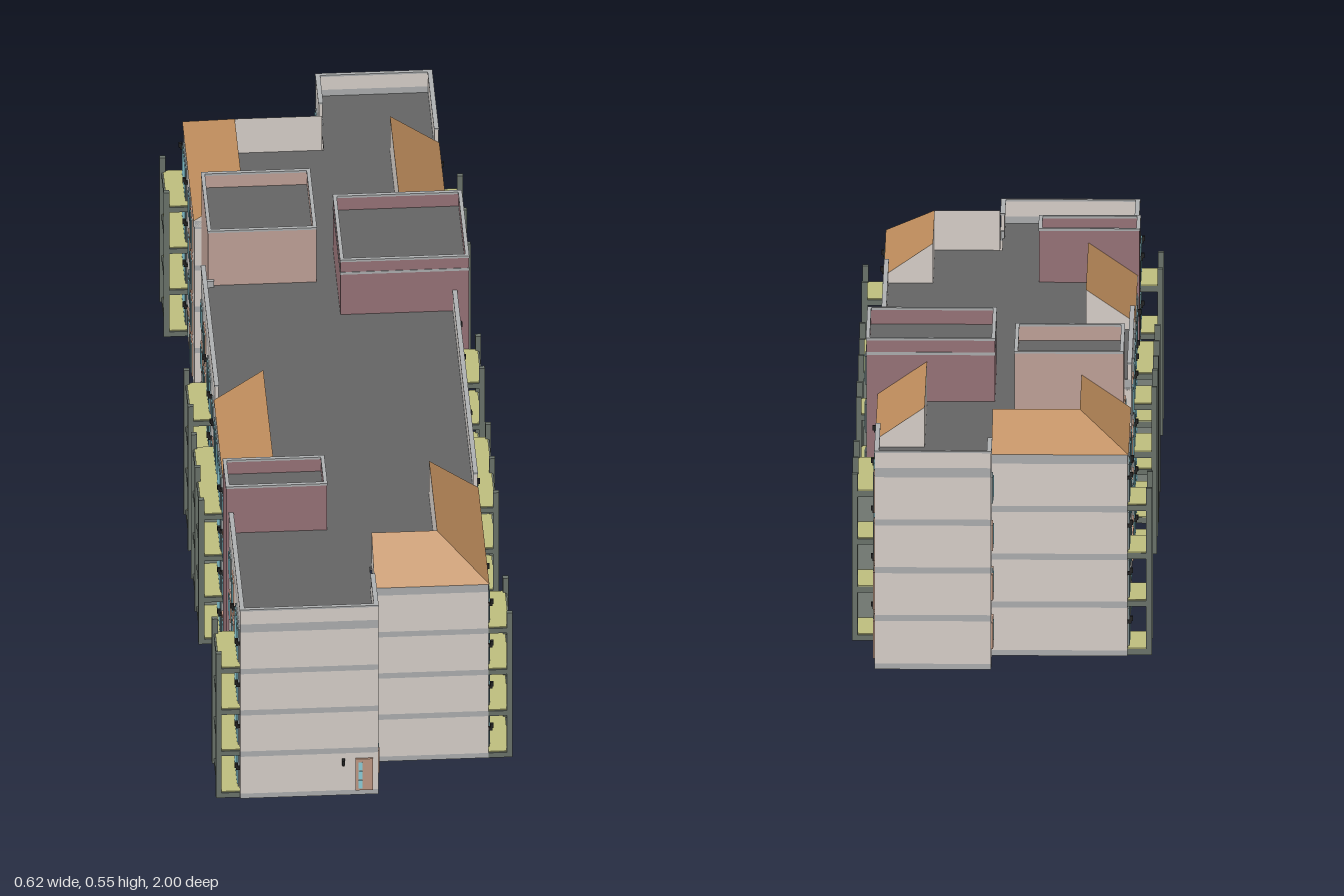
import * as THREE from 'three';

const mat = (color, side = THREE.FrontSide) =>
  new THREE.MeshStandardMaterial({ color, side, flatShading: true });
const M = {
  wall: mat(0xdcd4ce), band: mat(0xb0b2b3), roof: mat(0x666666), tile: mat(0xbf8d5c, THREE.DoubleSide),
  gable: mat(0xdcd4ce, THREE.DoubleSide), maroon: mat(0x9a757a), pink: mat(0xc4a59b),
  slab: mat(0xc0c080), steel: mat(0x6c756d), panel: mat(0x808880), glass: mat(0x8fd3e0),
  frame: mat(0x7d8a8c), wood: mat(0xc49c86), dark: mat(0x222222),
};

// Box given by its min and max corners
function box(parent, name, m, x0, x1, y0, y1, z0, z1) {
  const mesh = new THREE.Mesh(new THREE.BoxGeometry(Math.abs(x1 - x0), y1 - y0, Math.abs(z1 - z0)), m);
  mesh.position.set((x0 + x1) / 2, (y0 + y1) / 2, (z0 + z1) / 2);
  mesh.name = name;
  parent.add(mesh);
}

// Inset a right-angled outline of [x, z] points
function inset(pts, t) {
  const n = pts.length;
  const normal = (a, b) => {
    const dx = b[0] - a[0], dz = b[1] - a[1], l = Math.hypot(dx, dz);
    return [dz / l, -dx / l];
  };
  return pts.map((p, i) => {
    const a = normal(pts[(i + n - 1) % n], p), b = normal(p, pts[(i + 1) % n]);
    return [p[0] + t * (a[0] + b[0]), p[1] + t * (a[1] + b[1])];
  });
}

// Vertical extrusion of an outline; a thickness makes it a hollow ring
function prism(parent, name, m, pts, y0, y1, thickness = 0) {
  const v = (list) => list.map(([x, z]) => new THREE.Vector2(x, -z));
  const shape = new THREE.Shape(v(pts));
  if (thickness) shape.holes.push(new THREE.Path(v(inset(pts, thickness))));
  const g = new THREE.ExtrudeGeometry(shape, { depth: y1 - y0, bevelEnabled: false });
  g.rotateX(-Math.PI / 2);
  const mesh = new THREE.Mesh(g, m);
  mesh.position.y = y0;
  mesh.name = name;
  parent.add(mesh);
}

// Flat polygon through corner points
function face(parent, name, m, pts) {
  const pos = [];
  for (let i = 1; i < pts.length - 1; i++) pos.push(...pts[0], ...pts[i], ...pts[i + 1]);
  const g = new THREE.BufferGeometry();
  g.setAttribute('position', new THREE.Float32BufferAttribute(pos, 3));
  g.computeVertexNormals();
  const mesh = new THREE.Mesh(g, m);
  mesh.name = name;
  parent.add(mesh);
}

const FLOORS = [0.012, 0.115, 0.217, 0.319];
const EAVE = 0.43, RIDGE = 0.5, DECK = 0.415, PARAPET = 0.466, T = 0.008;

// Tiled slope between an eave line and a ridge line of [x, z] points
function slope(parent, eave, ridge) {
  const g = new THREE.Group();
  g.name = 'tiledRoof';
  const at = ([x, z], y) => [x, y, z];
  for (let i = 0; i < eave.length - 1; i++) {
    const r0 = ridge[i], r1 = ridge[i + 1];
    face(g, 'roofSlope', M.tile, [at(eave[i], EAVE), at(eave[i + 1], EAVE), at(r1, RIDGE), at(r0, RIDGE)]);
    face(g, 'roofBackWall', M.gable, [at(r0, DECK), at(r1, DECK), at(r1, RIDGE), at(r0, RIDGE)]);
  }
  for (const i of [0, eave.length - 1])
    face(g, 'gableEnd', M.gable, [at(eave[i], DECK), at(eave[i], EAVE), at(ridge[i], RIDGE), at(ridge[i], DECK)]);
  parent.add(g);
}

// Framed opening in a side wall at plane x facing s (+1 or -1)
function opening(parent, name, x, s, z, y, w, h, panes = 1, m = M.frame, shutters = false) {
  const g = new THREE.Group();
  g.name = name;
  box(g, name + 'Frame', m, x - s * 0.011, x + s * 0.003, y, y + h, z - w / 2, z + w / 2);
  const b = 0.005, pw = (w - b * (panes + 1)) / panes;
  for (let i = 0; i < panes; i++) {
    const z0 = z - w / 2 + b + i * (pw + b);
    box(g, name + 'Glass', M.glass, x - s * 0.0125, x + s * 0.0045, y + b, y + h - b, z0, z0 + pw);
  }
  if (shutters) for (const d of [-1, 1])
    box(g, 'shutter', M.wood, x, x + s * 0.004, y, y + h, z + d * w / 2, z + d * (w / 2 + 0.014));
  parent.add(g);
}

function facadeColumn(parent, kind, x, s, z, floors = FLOORS, shutterFloors = []) {
  floors.forEach((y, i) => {
    if (kind === 'window') opening(parent, 'window', x, s, z, y + 0.027, 0.044, 0.055, 1, i % 2 ? M.frame : M.wood, shutterFloors.includes(i));
    if (kind === 'tall') opening(parent, 'tallWindow', x, s, z, y + 0.004, 0.05, 0.08, 2, M.wood, shutterFloors.includes(i));
    if (kind === 'door') opening(parent, 'balconyDoor', x, s, z, y, 0.1, 0.082, 3);
  });
}

// Stack of balconies on one side, with posts and an optional divider
function balcony(parent, s, z0, z1) {
  const g = new THREE.Group();
  g.name = 'balconyStack';
  const wide = z1 - z0 > 0.2, mid = (z0 + z1) / 2, xi = s * 0.26, xo = s * 0.306;
  for (const y of FLOORS) {
    box(g, 'balconySlab', M.steel, xi, xo, y - 0.012, y, z0, z1);
    box(g, 'balconyFloor', M.slab, xi, s * 0.303, y, y + 0.002, z0 + 0.003, z1 - 0.003);
    for (const z of [z0 + 0.004, z1 - 0.004]) {
      box(g, 'wallLamp', M.dark, xi, s * 0.268, y + 0.055, y + 0.062, z - 0.003, z + 0.003);
      box(g, 'lampHead', M.dark, s * 0.264, s * 0.271, y + 0.06, y + 0.07, z - 0.003, z + 0.003);
    }
  }
  for (const z of wide ? [z0 + 0.005, mid, z1 - 0.005] : [z0 + 0.005, z1 - 0.005])
    box(g, 'balconyPost', M.steel, s * 0.298, s * 0.31, 0, 0.356, z - 0.005, z + 0.005);
  if (wide) box(g, 'balconyDivider', M.panel, xi, s * 0.3, 0, 0.32, mid - 0.003, mid + 0.003);
  parent.add(g);
  for (const z of wide ? [(z0 + mid) / 2, (z1 + mid) / 2] : [mid]) facadeColumn(parent, 'door', xi, s, z);
}

// Tower head rising over the deck
function tower(parent, name, m, x0, x1, z0, z1, top, bandY) {
  const pts = [[x0, z1], [x1, z1], [x1, z0], [x0, z0]];
  prism(parent, name, m, pts, DECK - 0.005, top - 0.005, 0.006);
  prism(parent, name + 'Coping', M.band, inset(pts, -0.001), top - 0.005, top, 0.008);
  if (bandY) prism(parent, name + 'Band', M.band, inset(pts, -0.001), bandY, bandY + 0.006, 0.004);
  prism(parent, name + 'Deck', M.roof, inset(pts, 0.003), top - 0.045, top - 0.035);
}

export function createModel() {
  const root = new THREE.Group();
  root.name = 'apartmentBlock';

  // Outer walls: hollow rings stacked in alternating colours
  const plan = [[-0.26, 0.99], [0.025, 0.99], [0.025, 0.87], [0.26, 0.87], [0.26, -1], [0.02, -1],
    [0.02, -0.89], [-0.26, -0.89], [-0.26, -0.52], [-0.242, -0.52], [-0.242, -0.3], [-0.26, -0.3]];
  const levels = [0, 0.012, 0.103, 0.116, 0.205, 0.218, 0.307, 0.32, 0.41, EAVE];
  for (let i = 0; i < levels.length - 1; i++)
    prism(root, i % 2 ? 'storeyWall' : 'floorBand', i % 2 ? M.wall : M.band, plan, levels[i], levels[i + 1], T);

  // Flat roof deck, notched under the tiled slopes
  prism(root, 'roofDeck', M.roof, [[-0.256, 0.986], [0.021, 0.986], [0.021, 0.77], [0.16, 0.77], [0.16, 0.51],
    [0.256, 0.51], [0.256, -0.42], [0.16, -0.42], [0.16, -0.78], [0.256, -0.78], [0.256, -0.996], [0.024, -0.996],
    [0.024, -0.79], [-0.16, -0.79], [-0.16, -0.52], [-0.238, -0.52], [-0.238, -0.3], [-0.256, -0.3],
    [-0.256, 0.15], [-0.16, 0.15], [-0.16, 0.52], [-0.256, 0.52]], DECK - 0.008, DECK);

  // Parapets between the slopes and towers
  for (const [x0, x1, z0, z1] of [
    [-0.26, 0.025, 0.982, 0.99], [0.017, 0.025, 0.87, 0.982], [-0.26, -0.252, 0.625, 0.982],
    [-0.26, -0.252, -0.3, 0.15], [0.252, 0.26, -0.175, 0.51], [0.252, 0.26, -0.992, -0.78],
    [0.02, 0.26, -1, -0.992], [0.02, 0.028, -0.992, -0.89]]) {
    box(root, 'parapet', M.wall, x0, x1, EAVE, PARAPET - 0.004, z0, z1);
    box(root, 'parapetCoping', M.band, x0 - 0.001, x1 + 0.001, PARAPET - 0.004, PARAPET, z0, z1);
  }

  // Tiled slopes: two hipped corners and two straight runs
  slope(root, [[0.262, 0.51], [0.262, 0.872], [0.025, 0.872]], [[0.16, 0.51], [0.16, 0.77], [0.025, 0.77]]);
  slope(root, [[-0.262, -0.52], [-0.262, -0.892], [0.02, -0.892]], [[-0.16, -0.52], [-0.16, -0.79], [0.02, -0.79]]);
  slope(root, [[0.262, -0.78], [0.262, -0.42]], [[0.16, -0.78], [0.16, -0.42]]);
  slope(root, [[-0.262, 0.15], [-0.262, 0.52]], [[-0.16, 0.15], [-0.16, 0.52]]);

  // Stair towers: facade panel below, hollow head above
  box(root, 'stairTowerFacade', M.maroon, 0.25, 0.285, 0, DECK, -0.42, -0.175);
  tower(root, 'stairTower', M.maroon, 0.02, 0.285, -0.42, -0.175, 0.55, 0.514);
  box(root, 'rearTowerFacade', M.pink, -0.246, -0.23, 0, DECK, -0.52, -0.3);
  tower(root, 'rearTower', M.pink, -0.246, -0.022, -0.52, -0.3, 0.55);
  box(root, 'smallTowerFacade', M.maroon, -0.266, -0.249, 0, DECK, 0.52, 0.625);
  tower(root, 'smallTower', M.maroon, -0.266, -0.058, 0.52, 0.625, 0.53);
  for (const y of [0.035, 0.138, 0.24, 0.342, 0.444]) opening(root, 'stairWindow', 0.285, 1, -0.375, y, 0.045, 0.06);
  for (const y of FLOORS) opening(root, 'stairWindow', -0.246, -1, -0.35, y + 0.025, 0.045, 0.06, 1, M.wood);

  // Balconies with their glazed doors
  for (const [z0, z1] of [[-0.775, -0.51], [-0.175, -0.045], [0.155, 0.42], [0.73, 0.87]]) balcony(root, 1, z0, z1);
  for (const [z0, z1] of [[-0.88, -0.74], [-0.085, 0.06], [0.155, 0.41], [0.845, 0.985]]) balcony(root, -1, z0, z1);

  // Remaining windows, column by column
  for (const [z, sh] of [[0.69, [0, 1]], [0.465, [1]], [0.125, []], [-0.82, [0, 1]]]) facadeColumn(root, 'window', 0.26, 1, z, FLOORS, sh);
  for (const [z, sh] of [[0.58, []], [0, []], [-0.935, [0, 1]]]) facadeColumn(root, 'tall', 0.26, 1, z, FLOORS, sh);
  for (const z of [-0.67, -0.25, 0.11, 0.465, 0.68]) facadeColumn(root, 'window', -0.26, -1, z, FLOORS, [0]);
  for (const z of [-0.59, -0.16, 0.77]) facadeColumn(root, 'tall', -0.26, -1, z);
  facadeColumn(root, 'window', 0.02, -1, -0.945, FLOORS, [0, 1]);
  facadeColumn(root, 'window', 0.025, 1, 0.935, [FLOORS[0]], [0]);

  // Front entrance and lamp
  box(root, 'entranceDoor', M.wood, -0.022, 0.014, 0.013, 0.09, 0.98, 0.994);
  for (let i = 0; i < 3; i++) box(root, 'entranceGlass', M.glass, -0.016, -0.008, 0.018 + i * 0.022, 0.038 + i * 0.022, 0.979, 0.995);
  box(root, 'entranceLamp', M.dark, -0.049, -0.045, 0.074, 0.082, 0.99, 0.996);
  box(root, 'entranceLampHead', M.dark, -0.05, -0.044, 0.08, 0.09, 0.99, 1);
  return root;
}
